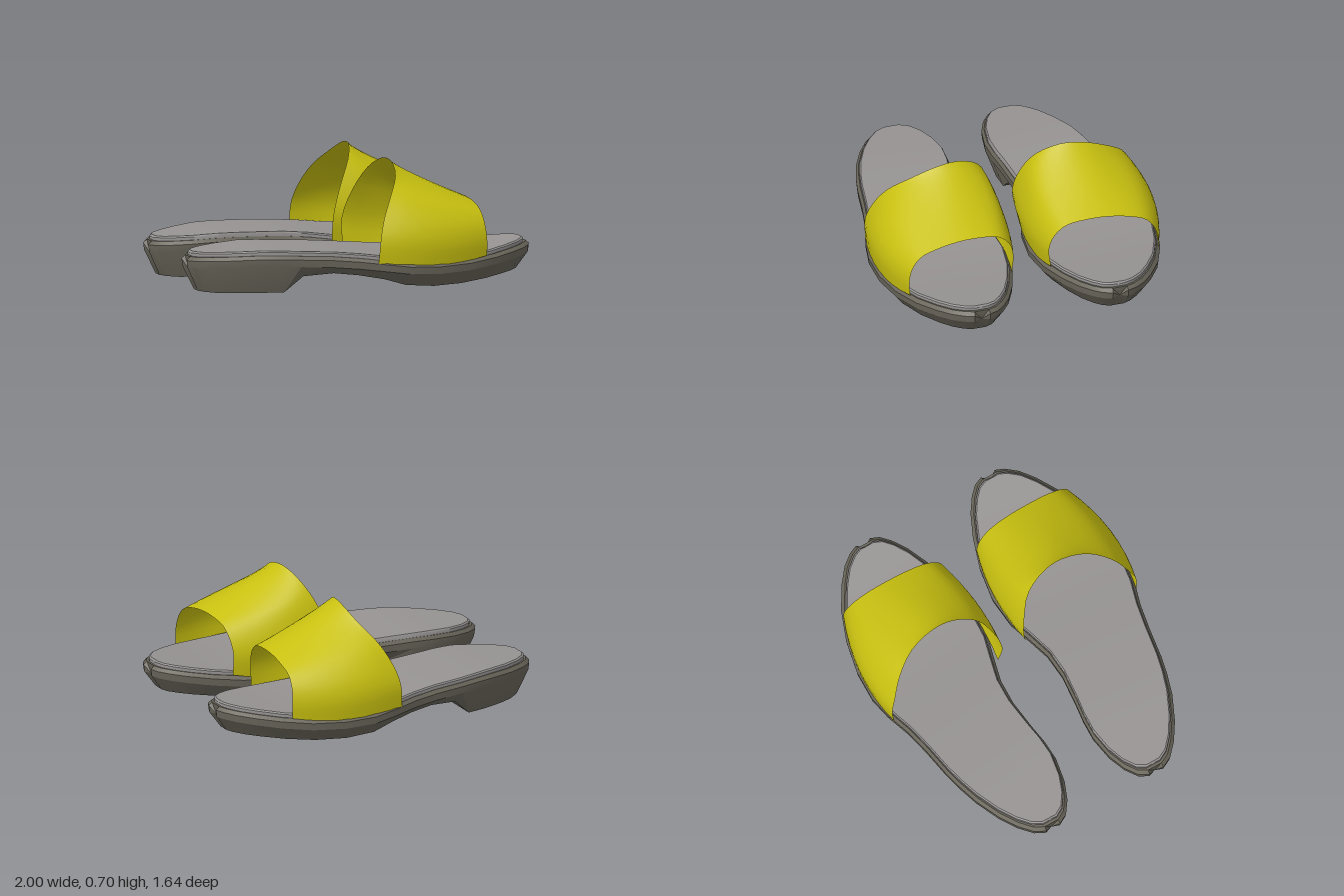
import * as THREE from 'three';
import { toCreasedNormals } from 'three/addons/utils/BufferGeometryUtils.js';

// Footprint from heel to toe: x, inner z, outer z
const OUTLINE = [
  [-1, 0.29, 0.38], [-0.97, 0.235, 0.44], [-0.9, 0.185, 0.505], [-0.8, 0.145, 0.57],
  [-0.66, 0.12, 0.635], [-0.54, 0.125, 0.672], [-0.43, 0.14, 0.697], [-0.25, 0.158, 0.725],
  [-0.1, 0.15, 0.755], [0.05, 0.11, 0.8], [0.18, 0.073, 0.822], [0.36, 0.06, 0.815],
  [0.55, 0.09, 0.775], [0.72, 0.145, 0.71], [0.85, 0.205, 0.63], [0.93, 0.26, 0.565],
  [0.98, 0.31, 0.5], [1, 0.36, 0.45],
];

// Side profiles: x, y
const TOP = [[-1, 0.2], [-0.6, 0.225], [-0.2, 0.21], [0, 0.19], [0.2, 0.165], [0.4, 0.16],
  [0.6, 0.17], [0.8, 0.195], [1, 0.22]];
const BOTTOM = [[-1, 0.01], [-0.85, 0], [-0.5, 0.01], [-0.4, 0.1], [-0.23, 0.115], [0, 0.09],
  [0.17, 0.04], [0.36, 0.025], [0.55, 0.032], [0.93, 0.07]];
const BOTTOM_WIDTH = [[-1, 0.78], [-0.45, 0.8], [-0.3, 0.86], [1, 0.83]];

// Strap edges and middle, each from outer foot over the instep to inner foot: x, y, z
const STRAP = [
  [[0, 0.17, 0.785], [0.01, 0.3, 0.79], [0.04, 0.41, 0.755], [0.1, 0.53, 0.69], [0.17, 0.63, 0.57],
    [0.195, 0.695, 0.42], [0.185, 0.7, 0.3], [0.14, 0.63, 0.17], [0.07, 0.49, 0.1], [0.02, 0.33, 0.07], [0.02, 0.17, 0.1]],
  [[0.33, 0.15, 0.805], [0.33, 0.27, 0.815], [0.33, 0.38, 0.785], [0.33, 0.49, 0.7], [0.33, 0.57, 0.56],
    [0.34, 0.612, 0.41], [0.33, 0.6, 0.27], [0.33, 0.53, 0.14], [0.33, 0.41, 0.08], [0.33, 0.28, 0.056], [0.33, 0.15, 0.075]],
  [[0.66, 0.18, 0.725], [0.66, 0.26, 0.73], [0.655, 0.34, 0.715], [0.65, 0.41, 0.665], [0.65, 0.45, 0.57],
    [0.645, 0.473, 0.44], [0.64, 0.473, 0.31], [0.63, 0.45, 0.2], [0.62, 0.39, 0.135], [0.61, 0.3, 0.105], [0.61, 0.18, 0.115]],
];

function lookup(table, x) {
  if (x <= table[0][0]) return table[0][1];
  for (let i = 1; i < table.length; i++) {
    const [x0, y0] = table[i - 1], [x1, y1] = table[i];
    if (x <= x1) return y0 + (y1 - y0) * (x - x0) / (x1 - x0);
  }
  return table[table.length - 1][1];
}

// Skin a list of sections; side = -1 mirrors the surface across z
function loft(sections, side, closed) {
  const n = sections[0].length, pos = [], index = [];
  for (const section of sections) for (const [x, y, z] of section) pos.push(x, y, z * side);
  const tri = (a, b, c) => (side > 0 ? index.push(a, b, c) : index.push(a, c, b));
  for (let i = 0; i < sections.length - 1; i++) {
    for (let j = 0; j < (closed ? n : n - 1); j++) {
      const k = (j + 1) % n;
      const a = i * n + j, b = i * n + k, c = a + n, d = b + n;
      tri(a, b, c);
      tri(b, d, c);
    }
  }
  const g = new THREE.BufferGeometry();
  g.setAttribute('position', new THREE.Float32BufferAttribute(pos, 3));
  g.setIndex(index);
  g.computeVertexNormals();
  return g;
}

// Stack of outline rings; each ring gives x scale, width scale and height at a station
function slab(rings, side) {
  const sections = OUTLINE.map(([x, zin, zout]) => {
    const mid = (zin + zout) / 2, half = (zout - zin) / 2;
    const edge = (dir) => rings.map((r) => {
      const rx = x * r.sx;
      return [rx, r.y(rx), mid + dir * half * r.w(rx)];
    });
    return [...edge(1), ...edge(-1).reverse()];
  });
  // Close the heel and toe ends
  const cap = (s) => {
    const c = [0, 1, 2].map((k) => s.reduce((t, p) => t + p[k], 0) / s.length);
    return s.map(() => c);
  };
  return loft([cap(sections[0]), ...sections, cap(sections[sections.length - 1])], side, true);
}

const ring = (sx, w, dy) => ({ sx, w: () => w, y: (x) => lookup(TOP, x) + dy });

function strapGeometry(side) {
  const curves = STRAP.map((pts) => new THREE.CatmullRomCurve3(pts.map((p) => new THREE.Vector3(...p))));
  const sections = [];
  for (let i = 0; i <= 8; i++) {
    const t = i / 8;
    // Quadratic blend through back edge, middle and front edge
    const w = [(1 - t) * (1 - 2 * t), 4 * t * (1 - t), t * (2 * t - 1)];
    const row = [];
    for (let j = 0; j <= 30; j++) {
      const p = new THREE.Vector3();
      curves.forEach((c, k) => p.addScaledVector(c.getPoint(1 - j / 30), w[k]));
      row.push(p.toArray());
    }
    sections.push(row);
  }
  return loft(sections, side, false);
}

export function createModel() {
  const model = new THREE.Group();
  const soleMat = new THREE.MeshStandardMaterial({ color: 0x69655a });
  const insoleMat = new THREE.MeshStandardMaterial({ color: 0x979393 });
  const strapMat = new THREE.MeshStandardMaterial({ color: 0xc8c010, side: THREE.DoubleSide });

  for (const side of [1, -1]) {
    const sandal = new THREE.Group();
    sandal.name = side > 0 ? 'frontSandal' : 'backSandal';
    const add = (name, geometry, material) => {
      const mesh = new THREE.Mesh(geometry, material);
      mesh.name = name;
      sandal.add(mesh);
    };

    // Sole with rounded rim, arch and low heel
    const tread = { sx: 0.93, w: (x) => lookup(BOTTOM_WIDTH, x), y: (x) => lookup(BOTTOM, x) };
    add('sole', toCreasedNormals(slab([
      ring(0.98, 0.95, 0), ring(1, 1, -0.02), ring(0.995, 0.99, -0.06), tread,
    ], side), 0.4), soleMat);

    // Padded footbed standing just above the rim
    add('insole', toCreasedNormals(slab([
      ring(0.955, 0.92, 0.026), ring(0.965, 0.94, 0.018), ring(0.965, 0.94, -0.01),
    ], side), 0.6), insoleMat);

    // Wide band over the instep
    add('strap', strapGeometry(side), strapMat);
    model.add(sandal);
  }
  return model;
}
